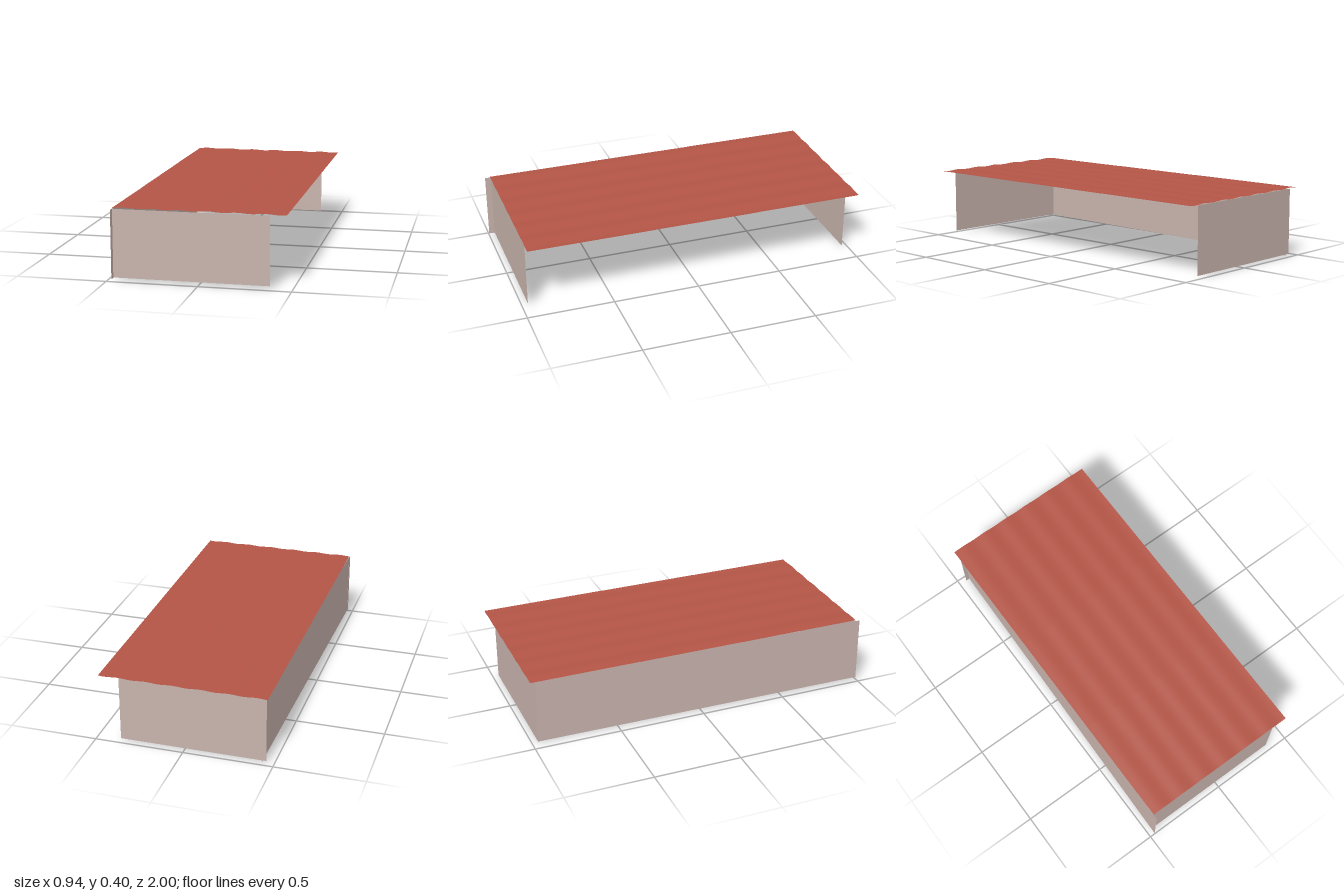
import * as THREE from 'three';

export function createModel() {
  const model = new THREE.Group();
  const wallMat = new THREE.MeshStandardMaterial({ color: 0xc8b3ac, side: THREE.DoubleSide });
  const roofMat = new THREE.MeshStandardMaterial({ color: 0xb35546, side: THREE.DoubleSide });

  // Thin upright wall between two floor points, each [x, z, bottom, top]
  function wall(name, a, b) {
    const geo = new THREE.PlaneGeometry(1, 1);
    const pos = geo.attributes.position;
    for (let i = 0; i < pos.count; i++) {
      const p = pos.getX(i) < 0 ? a : b;
      pos.setXYZ(i, p[0], pos.getY(i) < 0 ? p[2] : p[3], p[1]);
    }
    geo.computeVertexNormals();
    const mesh = new THREE.Mesh(geo, wallMat);
    mesh.name = name;
    model.add(mesh);
  }
  wall('frontWall', [-0.47, 0.967, 0.015, 0.39], [0.38, 0.967, 0.015, 0.39]);
  wall('backWall', [0.365, -0.967, 0.008, 0.385], [-0.455, -0.967, 0.008, 0.385]);
  // The long wall stands slightly askew
  wall('sideWall', [-0.432, -0.965, 0, 0.385], [-0.47, 1, 0.013, 0.391]);

  // Corrugated roof: three wavy sheets, each lapping over the next
  const roof = new THREE.Group();
  roof.name = 'corrugatedRoof';
  const length = 0.722, width = 0.936, pitch = 0.625;
  for (let s = 0; s < 3; s++) {
    const geo = new THREE.PlaneGeometry(width, length, 72, 1).rotateX(-Math.PI / 2);
    const pos = geo.attributes.position;
    for (let i = 0; i < pos.count; i++) {
      const wave = 0.0022 * Math.cos((pos.getX(i) - 0.05) * 2 * Math.PI / 0.153);
      const slope = -0.001 * pos.getZ(i) / length;
      pos.setY(i, 0.3972 + wave - slope);
    }
    geo.computeVertexNormals();
    const sheet = new THREE.Mesh(geo, roofMat);
    sheet.name = 'roofSheet' + (s + 1);
    sheet.position.z = -1 + length / 2 + s * pitch;
    roof.add(sheet);
  }
  model.add(roof);
  return model;
}
